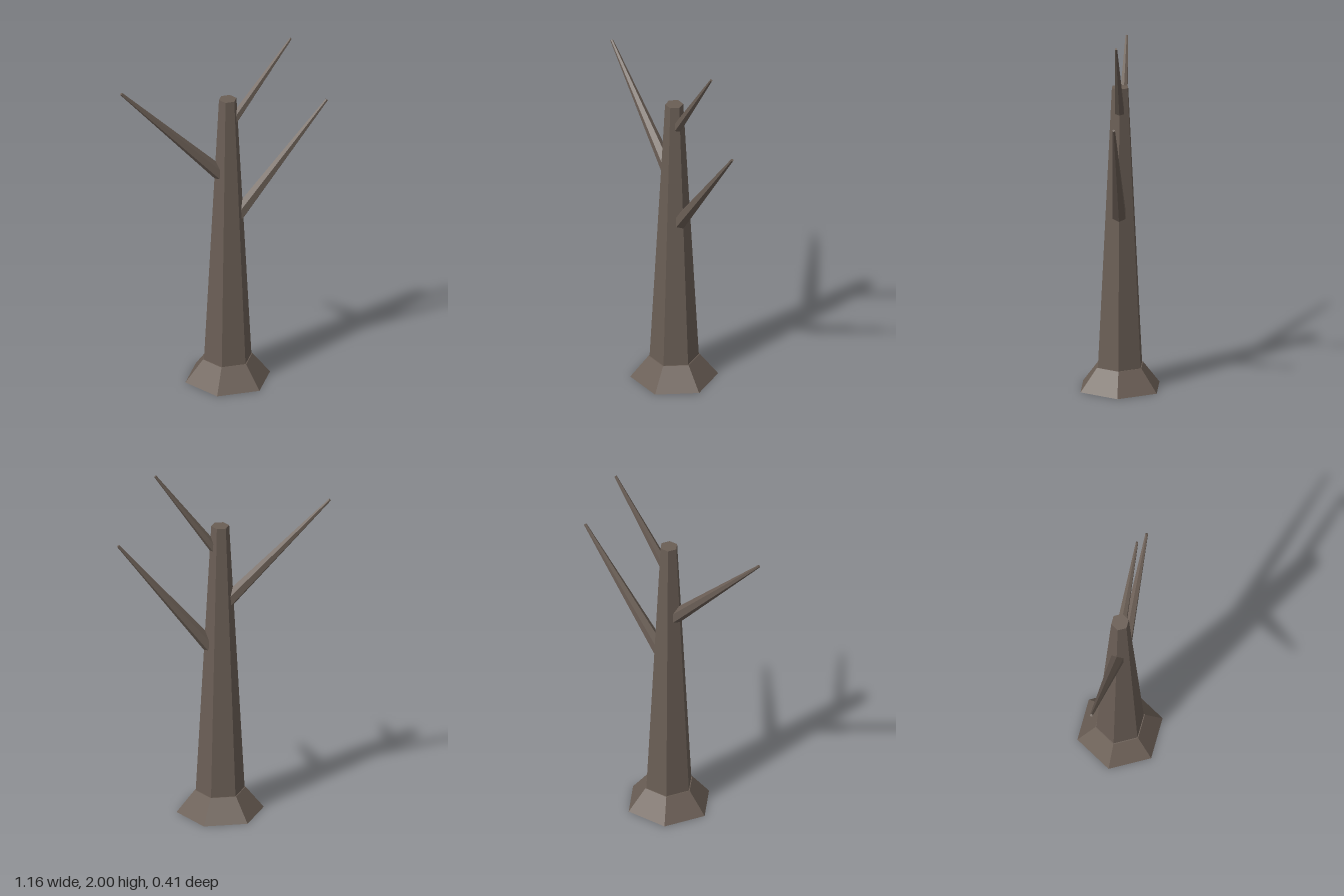
import * as THREE from 'three';

export function createModel() {
  const tree = new THREE.Group();
  tree.name = 'bareTree';
  const bark = new THREE.MeshStandardMaterial({ color: 0x6a5e55, flatShading: true });
  bark.name = 'bark';

  // Tapered six-sided log between two points, with corners lying in the x-y plane
  function log(name, from, to, r0, r1) {
    const a = new THREE.Vector3(...from), b = new THREE.Vector3(...to);
    const axis = b.clone().sub(a);
    const geometry = new THREE.CylinderGeometry(r1, r0, axis.length(), 6, 1, false, Math.PI / 6);
    const mesh = new THREE.Mesh(geometry, bark);
    mesh.name = name;
    mesh.position.copy(a).add(b).multiplyScalar(0.5);
    mesh.rotation.z = Math.atan2(-axis.x, axis.y);
    tree.add(mesh);
  }

  // Flared root and trunk
  log('rootFlare', [0.02, 0, 0], [0.02, 0.125, 0], 0.237, 0.138);
  log('trunk', [0.02, 0.01, 0], [0.02, 1.68, 0], 0.139, 0.049);

  // Bare branches
  log('lowerLeftBranch', [0.077, 0.975, 0], [0.574, 1.597, 0], 0.04, 0.008);
  log('rightBranch', [-0.022, 1.235, 0], [-0.576, 1.795, 0], 0.04, 0.008);
  log('upperLeftBranch', [0.05, 1.547, 0], [0.373, 1.996, 0], 0.028, 0.007);

  return tree;
}
